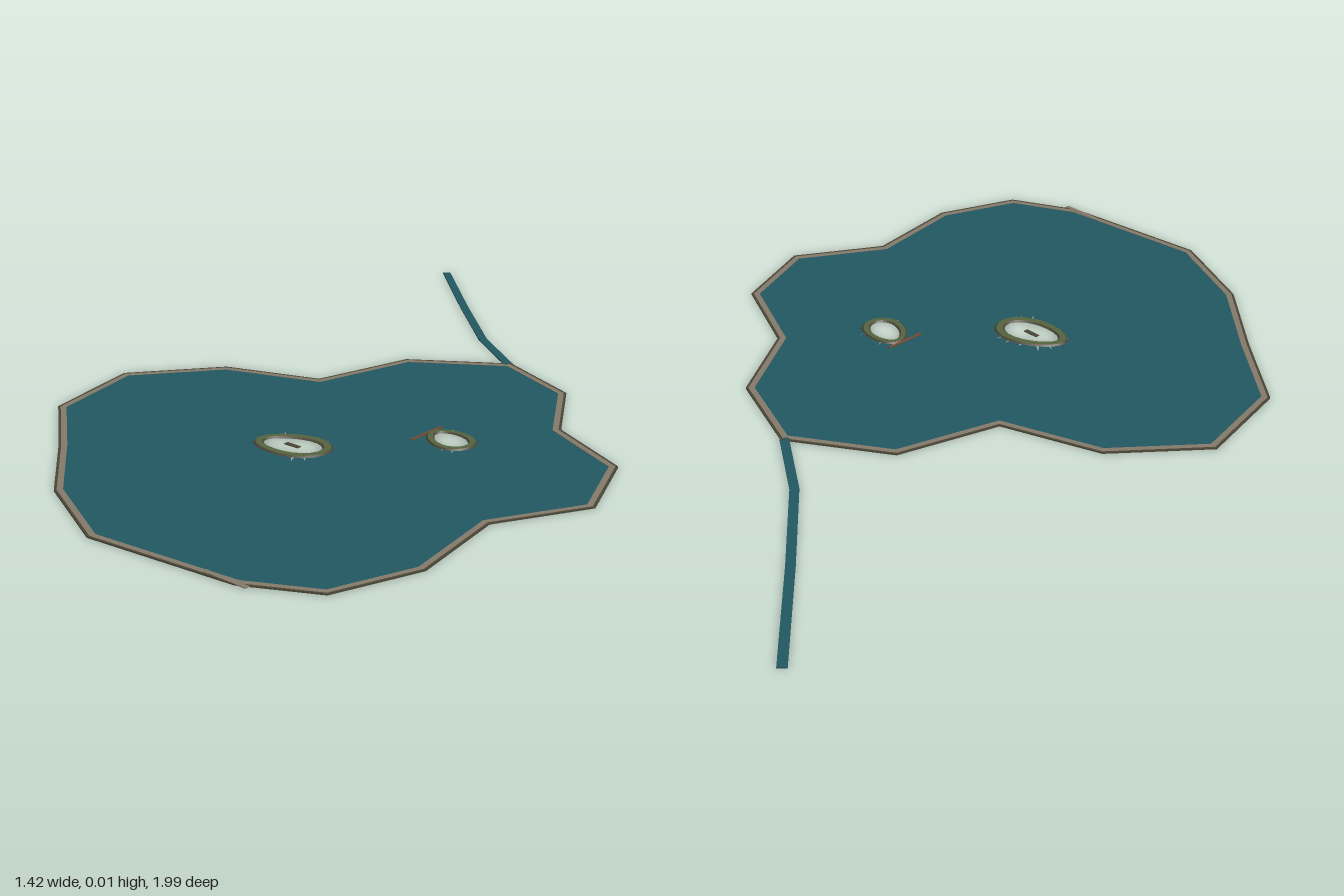
import * as THREE from 'three';

const mat = (name, color) => {
  const m = new THREE.MeshStandardMaterial({ color, side: THREE.DoubleSide });
  m.name = name;
  return m;
};
const V = (x, z) => new THREE.Vector2(x, z);

// Leaf outline seen from above, as x and z
const OUTLINE = [
  [0, -0.455], [0.24, -0.365], [0.38, -0.15], [0.615, -0.045], [0.71, 0.18], [0.59, 0.395],
  [0.635, 0.66], [0.56, 0.87], [0.39, 0.955], [-0.005, 0.99], [-0.25, 0.87], [-0.45, 0.685],
  [-0.65, 0.515], [-0.71, 0.245], [-0.545, 0.04], [-0.3, -0.045], [-0.23, -0.305],
].map(([x, z]) => V(x, z));

// Moves every side of a path sideways by d, with mitred corners
function offset(points, d, closed = true) {
  const n = points.length;
  return points.map((p, i) => {
    const prev = closed ? points[(i + n - 1) % n] : points[Math.max(i - 1, 0)];
    const next = closed ? points[(i + 1) % n] : points[Math.min(i + 1, n - 1)];
    let a = p.clone().sub(prev).normalize();
    let b = next.clone().sub(p).normalize();
    if (a.length() === 0) a = b;
    if (b.length() === 0) b = a;
    const na = V(-a.y, a.x), nb = V(-b.y, b.x);
    const m = na.clone().add(nb).normalize();
    return p.clone().addScaledVector(m, d / m.dot(na));
  });
}

// Flat plate lying on the ground plane, with optional holes
function plate(name, points, holes, material, y, height) {
  const shape = new THREE.Shape(points);
  holes.forEach((h) => shape.holes.push(new THREE.Path(h)));
  const geo = new THREE.ExtrudeGeometry(shape, { depth: height, bevelEnabled: false });
  geo.rotateX(Math.PI / 2).translate(0, y + height, 0);
  const mesh = new THREE.Mesh(geo, material);
  mesh.name = name;
  return mesh;
}

// Point on a tilted, slightly egg-shaped oval
function oval(e, t, rx, rz) {
  const x = Math.cos(t) * rx;
  const z = Math.sin(t) * rz * (1 + 0.15 * Math.cos(t));
  const c = Math.cos(e.tilt), s = Math.sin(e.tilt);
  return V(e.x + x * c - z * s, e.z + x * s + z * c);
}

const HOLES = [
  { x: -0.035, z: 0.335, rx: 0.1, rz: 0.068, w: 0.026, tilt: -0.25,
    slits: [0.9, 1.2, 2.7, 3.5, 3.85, 4.2, 4.65, 5.0, 5.3] },
  { x: 0.222, z: 0.072, rx: 0.072, rz: 0.054, w: 0.021, tilt: 0.3,
    slits: [0.6, 1.0, 2.5, 3.4, 4.0, 4.9, 5.3] },
];

// Hole edge in the blade, with thin torn slits running outward
function tornHole(e) {
  const pts = [];
  const steps = 28;
  const rx = e.rx - e.w * 0.5, rz = e.rz - e.w * 0.5;
  const events = [];
  for (let i = 0; i < steps; i++) {
    const t = (i / steps) * Math.PI * 2;
    if (!e.slits.some((s) => Math.abs(s - t) < 0.09)) events.push([t, 0]);
  }
  e.slits.forEach((s, i) => events.push([s - 0.07, 0], [s, 0.014 + 0.006 * (i % 3)], [s + 0.07, 0]));
  events.sort((a, b) => a[0] - b[0]);
  events.forEach(([t, out]) => pts.push(out
    ? oval(e, t, e.rx + out, e.rz + out)
    : oval(e, t, rx, rz)));
  return pts;
}

// Raised lip around a hole, lofted from ovals between two insets
function lip(name, e, rows, material) {
  const n = 20, pos = [], idx = [];
  rows.forEach(([inset, y]) => {
    for (let i = 0; i < n; i++) {
      const p = oval(e, (i / n) * Math.PI * 2, e.rx - inset, e.rz - inset);
      pos.push(p.x, y, p.y);
    }
  });
  for (let r = 0; r < rows.length - 1; r++) {
    for (let i = 0; i < n; i++) {
      const a = r * n + i, b = r * n + (i + 1) % n;
      idx.push(a, a + n, b, b, a + n, b + n);
    }
  }
  const geo = new THREE.BufferGeometry();
  geo.setAttribute('position', new THREE.Float32BufferAttribute(pos, 3));
  geo.setIndex(idx);
  geo.computeVertexNormals();
  const mesh = new THREE.Mesh(geo, material);
  mesh.name = name;
  return mesh;
}

export function createModel() {
  const teal = mat('leaf teal', 0x225963);
  const tan = mat('rim tan', 0x857c6b);
  const dark = mat('edge brown', 0x4a4636);
  const olive = mat('lip olive', 0x566540);
  const rust = mat('rust', 0x7a4a30);

  const model = new THREE.Group();
  model.name = 'leaf';

  // Blade with two torn holes, then a tan rim and its dark edge
  const inner = offset(OUTLINE, 0.02);
  const middle = offset(OUTLINE, 0.006);
  model.add(plate('blade', inner, HOLES.map(tornHole), teal, 0, 0.002));
  model.add(plate('rim', middle, [inner], tan, 0, 0.003));
  model.add(plate('rimEdge', OUTLINE, [middle], dark, 0, 0.003));

  // Stem: a narrow bent strip
  const path = [V(-0.65, -0.99), V(-0.4, -0.76), V(-0.18, -0.565), V(0, -0.445)];
  const strip = [...offset(path, 0.011, false), ...offset(path, -0.011, false).reverse()];
  model.add(plate('stem', strip, [], teal, 0, 0.003));

  // Lips around the holes
  HOLES.forEach((e, i) => {
    const lipGroup = new THREE.Group();
    lipGroup.name = `holeLip${i + 1}`;
    const w = e.w;
    lipGroup.add(lip('outerEdge', e, [[0, 0.002], [w * 0.18, 0.006]], dark));
    lipGroup.add(lip('lip', e, [[w * 0.18, 0.006], [w * 0.82, 0.006]], olive));
    lipGroup.add(lip('innerEdge', e, [[w * 0.82, 0.006], [w, 0.002]], dark));
    model.add(lipGroup);
  });

  // Small loose slivers: in the large hole, by the small hole and on the rim
  const sliver = (name, x, z, w, d, y, material) => {
    const mesh = new THREE.Mesh(new THREE.BoxGeometry(w, 0.002, d), material);
    mesh.name = name;
    mesh.position.set(x, y, z);
    model.add(mesh);
  };
  sliver('holeSliver', -0.037, 0.333, 0.042, 0.012, 0.002, dark);
  sliver('rustSliver', 0.152, 0.075, 0.007, 0.11, 0.003, rust);
  sliver('rimSliver', 0.36, 0.949, 0.12, 0.012, 0.003, tan);

  return model;
}
